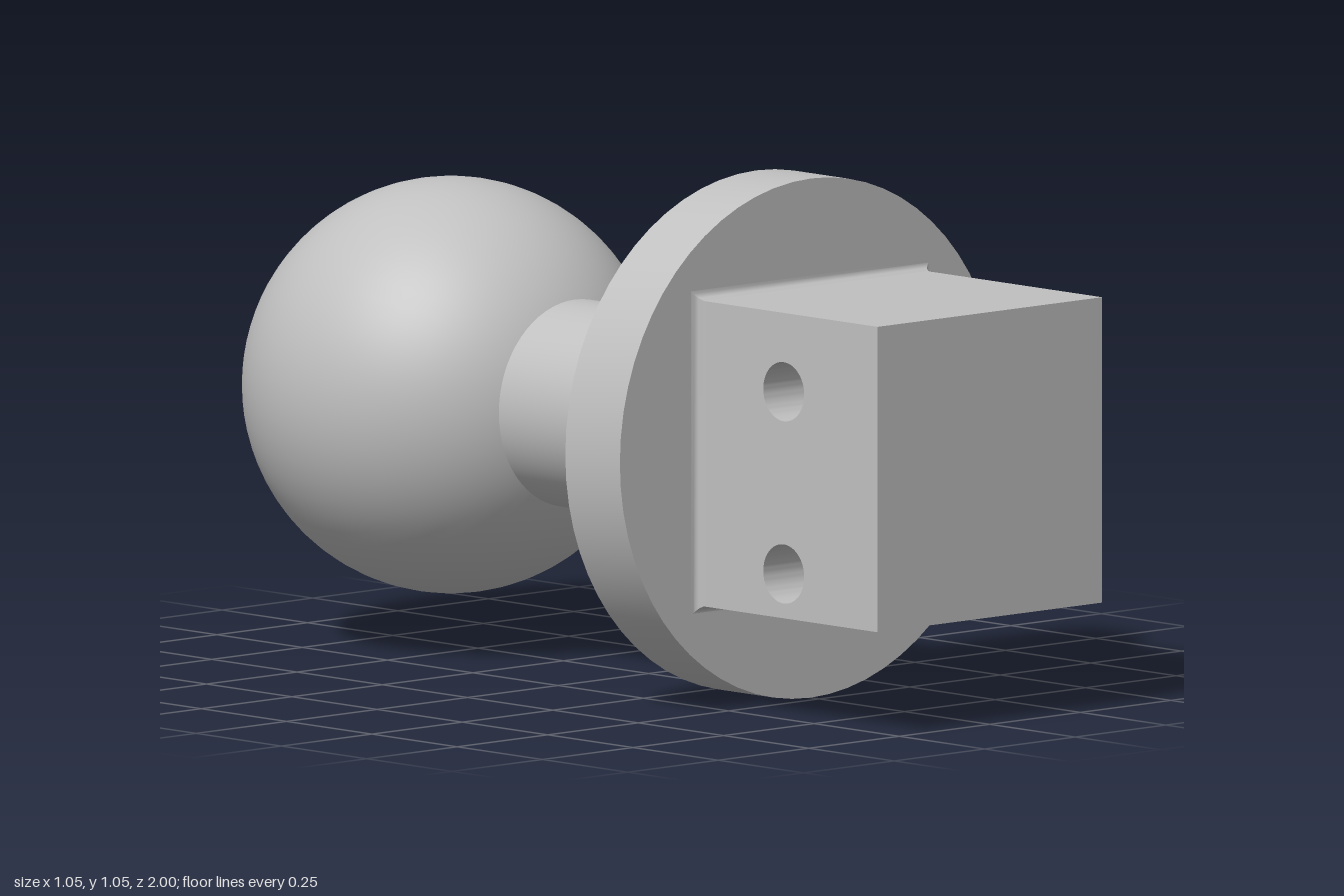
import * as THREE from 'three';
import { toCreasedNormals } from 'three/addons/utils/BufferGeometryUtils.js';

const AXIS_Y = 0.527; // height of the common axis
const SEGMENTS = 64;

// Concave quarter fillet from (r, z) outwards to (r + size, z + size * dir)
function fillet(r, z, size, dir, steps) {
  return Array.from({ length: steps + 1 }, (_, i) => {
    const a = (i / steps) * Math.PI / 2;
    return [r + size * (1 - Math.cos(a)), z + dir * size * Math.sin(a)];
  });
}

// Turned part along z; profile is [radius, z] with z increasing
function turned(profile, segments = SEGMENTS, phi = 0) {
  const points = profile.map(([r, z]) => new THREE.Vector2(r, z));
  const geometry = new THREE.LatheGeometry(points, segments, phi);
  return toCreasedNormals(geometry.rotateX(Math.PI / 2), Math.PI / 6);
}

export function createModel() {
  const model = new THREE.Group();
  model.name = 'ballMount';
  const grey = new THREE.MeshStandardMaterial({ color: 0xc0c0c0 });
  grey.name = 'grey';

  const add = (name, geometry) => {
    const mesh = new THREE.Mesh(geometry, grey);
    mesh.name = name;
    mesh.position.y = AXIS_Y;
    model.add(mesh);
  };

  // Ball, open where the neck enters
  const ballRadius = 0.42, neckRadius = 0.21, ballZ = -0.58;
  const opening = Math.asin(neckRadius / ballRadius);
  const ball = new THREE.SphereGeometry(ballRadius, SEGMENTS, 40, 0, Math.PI * 2, 0, Math.PI - opening);
  add('ball', ball.rotateX(-Math.PI / 2).translate(0, 0, ballZ));

  // Neck flaring into the flange
  const neckStart = ballZ + ballRadius * Math.cos(opening);
  add('neck', turned([[neckRadius, neckStart], ...fillet(neckRadius, 0.245, 0.07, 1, 8)]));

  // Round flange
  add('flange', turned([[0, 0.315], [0.527, 0.315], [0.527, 0.475], [0, 0.475]]));

  // Square block with two cross holes, drawn in (z, y) and extruded along x
  const half = 0.31;
  const side = new THREE.Shape();
  side.moveTo(0.475, -half);
  side.lineTo(1, -half);
  side.lineTo(1, half);
  side.lineTo(0.475, half);
  side.closePath();
  for (const y of [-0.22, 0.15]) {
    side.holes.push(new THREE.Path().absarc(0.725, y, 0.06, 0, Math.PI * 2, true));
  }
  const block = new THREE.ExtrudeGeometry(side, { depth: half * 2, bevelEnabled: false, curveSegments: 32 });
  block.rotateY(-Math.PI / 2).translate(half, 0, 0);
  add('block', toCreasedNormals(block, Math.PI / 6));

  // Mitred fillet between block and flange
  const root = fillet(half, 0.495, 0.02, -1, 6).reverse();
  add('blockFillet', turned(root.map(([r, z]) => [r * Math.SQRT2, z]), 4, Math.PI / 4));

  return model;
}
